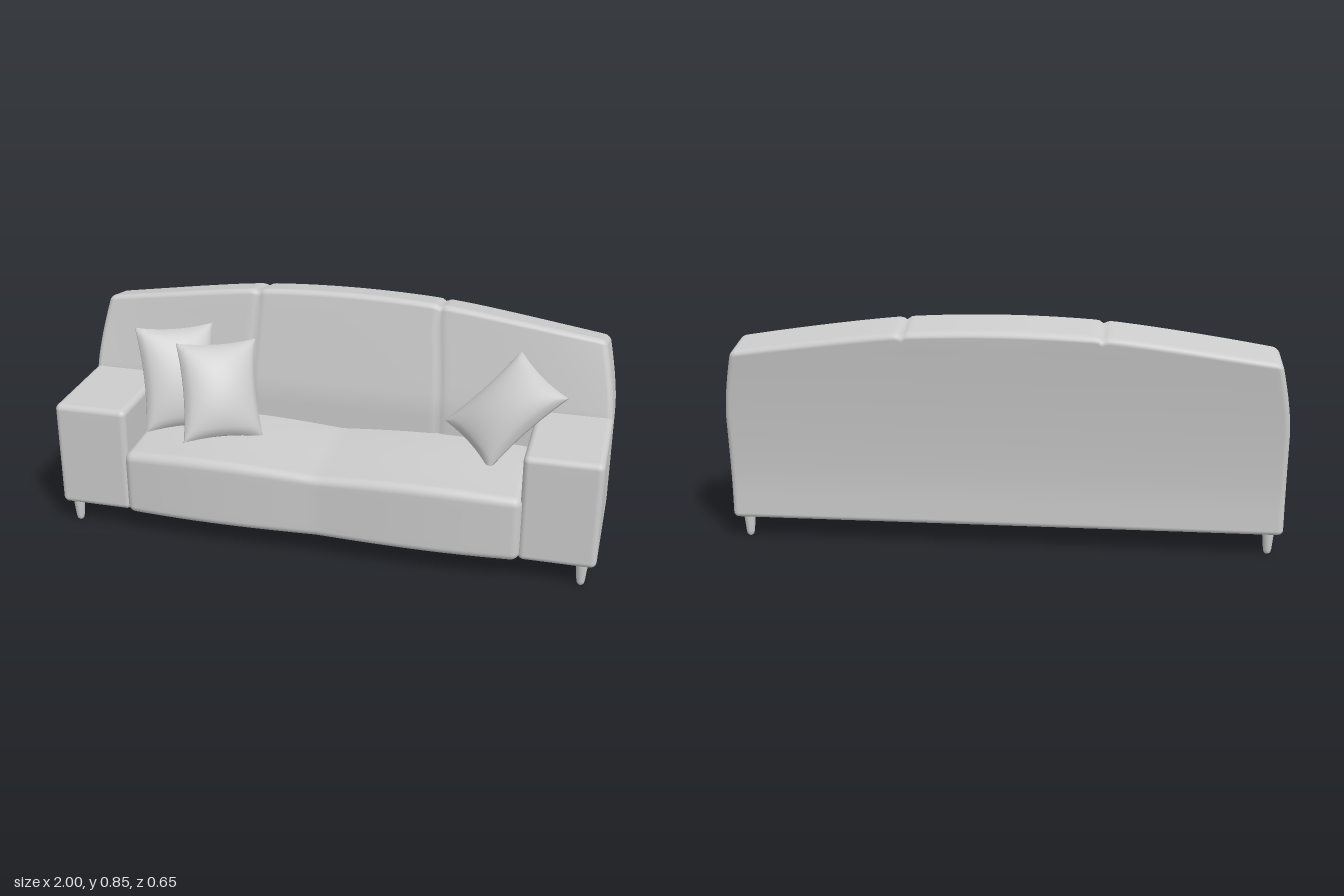
import * as THREE from 'three';
import { mergeVertices } from 'three/addons/utils/BufferGeometryUtils.js';

const { clamp, lerp, smoothstep } = THREE.MathUtils;
const material = new THREE.MeshStandardMaterial({ color: 0xcccccc });
const FLOOR = 0.085; // underside of the upholstery

// Weld a box grid, move every vertex by a rule, and give it smooth normals.
function reshape(box, rule) {
  box.deleteAttribute('normal');
  box.deleteAttribute('uv');
  const geo = mergeVertices(box, 1e-5);
  const pos = geo.attributes.position;
  const p = new THREE.Vector3();
  for (let i = 0; i < pos.count; i++) {
    rule(p.fromBufferAttribute(pos, i));
    pos.setXYZ(i, p.x, p.y, p.z);
  }
  geo.computeVertexNormals();
  return geo;
}

// Finely divided box with rounded edges between two corners, then an optional warp.
function softBox(min, max, r, segs, warp = () => {}) {
  const k = 4; // divisions per rounded edge
  const n = segs.map((s) => s + 2 * k);
  const half = min.map((m, i) => (max[i] - m) / 2);
  const coord = (t, i) => {
    const j = Math.round((t + 0.5) * n[i]);
    const flat = half[i] - r;
    if (j < k) return -flat - r * Math.tan((Math.PI / 4) * (1 - j / k));
    if (j > n[i] - k) return flat + r * Math.tan((Math.PI / 4) * (1 - (n[i] - j) / k));
    return lerp(-flat, flat, (j - k) / segs[i]);
  };
  const inner = new THREE.Vector3();
  return reshape(new THREE.BoxGeometry(1, 1, 1, ...n), (p) => {
    p.set(coord(p.x, 0), coord(p.y, 1), coord(p.z, 2));
    inner.set(
      clamp(p.x, r - half[0], half[0] - r),
      clamp(p.y, r - half[1], half[1] - r),
      clamp(p.z, r - half[2], half[2] - r));
    p.sub(inner).setLength(r).add(inner);
    p.x += (min[0] + max[0]) / 2;
    p.y += (min[1] + max[1]) / 2;
    p.z += (min[2] + max[2]) / 2;
    warp(p);
  });
}

// Leaning backrest: arched top, tapered ends and two seams dividing three panels.
function backGeometry() {
  const top = 0.857, depth = 0.17;
  return softBox([-1, FLOOR, 0], [1, top, depth], 0.022, [140, 16, 6], (p) => {
    const ax = Math.abs(p.x);
    const v = (p.y - FLOOR) / (top - FLOOR);
    const f = p.z / depth; // 0 rear, 1 front
    const groove = Math.exp(-(((ax - 0.365) / 0.011) ** 2));
    const crest = top - 0.013 * (ax / 0.365) ** 2 * (ax < 0.365 ? 1 : 0)
      - (ax < 0.365 ? 0 : 0.013 + 0.075 * ((ax - 0.365) / 0.585) ** 1.15);
    const high = crest - 0.033 * (1 - f) - 0.01 * groove;
    p.y = FLOOR + v * (high - FLOOR);
    const rise = clamp((p.y - 0.47) / 0.38, 0, 1);
    const rear = -0.25 - 0.078 * clamp((p.y - 0.2) / 0.6, 0, 1) ** 1.4;
    const front = -0.092 - 0.065 * rise - 0.03 * ax ** 5 * rise - 0.008 * groove;
    p.z = lerp(rear, front, f);
    p.x *= 0.999 - 0.05 * clamp((p.y - 0.47) / 0.29, 0, 1) ** 1.5;
  });
}

// Seat: two gently crowned halves with a shallow dip in the middle.
function seatGeometry() {
  return softBox([-0.732, FLOOR, -0.14], [0.732, 0.325, 0.312], 0.03, [48, 8, 14], (p) => {
    const s = Math.abs(p.x) / 0.732;
    const bulge = Math.sin(Math.PI * Math.min(s, 1) * 0.92);
    const v = (p.y - FLOOR) / 0.24;
    const backward = smoothstep(0.3 - p.z, 0, 0.35);
    p.y += v * v * (0.02 * bulge + 0.012 * backward);
    if (p.z > 0) p.z += (p.z / 0.312) * (0.014 * bulge - 0.008 * s ** 4);
  });
}

// Pillow spanned by three of its corners, puffed in the middle, pinched along the edges.
function pillowGeometry([tl, tr, bl]) {
  const [a, b, c] = [tl, tr, bl].map((q) => new THREE.Vector3(...q));
  const right = b.clone().sub(a).multiplyScalar(0.5);
  const up = a.clone().sub(c).multiplyScalar(0.5);
  const out = right.clone().cross(up).normalize();
  const frame = new THREE.Matrix4().makeBasis(right, up, out)
    .setPosition(b.clone().add(c).multiplyScalar(0.5));
  return reshape(new THREE.BoxGeometry(2, 2, 2, 24, 24, 2), (p) => {
    const eu = 1 - p.x * p.x, ev = 1 - p.y * p.y;
    p.z *= 0.006 + 0.06 * Math.pow(Math.max(eu * ev, 0), 0.55);
    p.x *= 1 - 0.09 * ev;
    p.y *= 1 - 0.07 * eu;
    p.applyMatrix4(frame);
  });
}

export function createModel() {
  const sofa = new THREE.Group();
  sofa.name = 'sofa';
  const add = (name, geometry) => {
    const mesh = new THREE.Mesh(geometry, material);
    mesh.name = name;
    sofa.add(mesh);
    return mesh;
  };

  add('backrest', backGeometry());
  add('seat', seatGeometry());

  // Arms
  add('leftArm', softBox([0.725, FLOOR, -0.23], [1, 0.49, 0.29], 0.022, [4, 4, 6]));
  add('rightArm', softBox([-1, FLOOR, -0.23], [-0.725, 0.49, 0.29], 0.022, [4, 4, 6]));

  // Tapered legs with rounded tips
  const profile = [[0, 0], [0.007, 0.001], [0.012, 0.006], [0.015, 0.018], [0.02, 0.07], [0.021, 0.1]]
    .map(([x, y]) => new THREE.Vector2(x, y));
  const legGeometry = new THREE.LatheGeometry(profile, 20);
  for (const [side, x] of [['left', 0.95], ['right', -0.95]]) {
    add(side + 'FrontLeg', legGeometry).position.set(x, 0, 0.252);
    add(side + 'BackLeg', legGeometry).position.set(x, 0, -0.2);
  }

  // Scatter pillows: top left, top right and bottom left corners
  const pillows = {
    rearPillow: [[-0.77, 0.717, 0.03], [-0.52, 0.705, -0.12], [-0.69, 0.36, 0.17]],
    frontPillow: [[-0.6, 0.68, 0.055], [-0.345, 0.665, -0.1], [-0.525, 0.36, 0.22]],
    tiltedPillow: [[0.655, 0.706, -0.13], [0.842, 0.6, 0.01], [0.4, 0.44, -0.04]],
  };
  for (const [name, corners] of Object.entries(pillows)) add(name, pillowGeometry(corners));

  return sofa;
}
